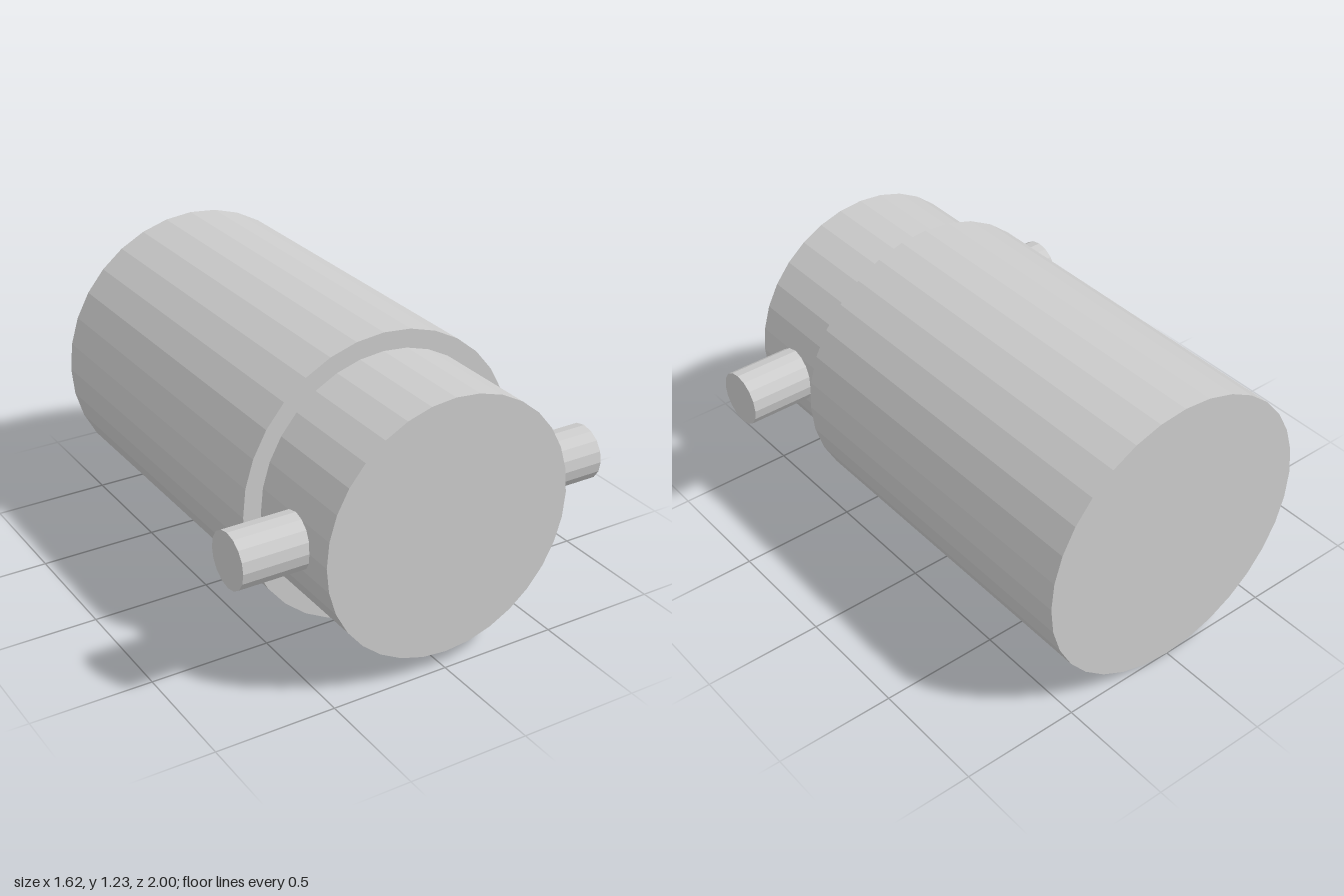
import * as THREE from 'three';

const AXIS_Y = 0.617;

export function createModel() {
  const model = new THREE.Group();
  const material = new THREE.MeshStandardMaterial({ color: 0xcccccc, flatShading: true });

  // Faceted drum lying along z between two depths
  function drum(name, radius, back, front) {
    const geometry = new THREE.CylinderGeometry(radius, radius, front - back, 32);
    geometry.rotateX(Math.PI / 2);
    const mesh = new THREE.Mesh(geometry, material);
    mesh.name = name;
    mesh.position.set(0, AXIS_Y, (front + back) / 2);
    model.add(mesh);
  }

  drum('mainBody', 0.613, -1, 0.535);
  drum('frontCollar', 0.537, 0.535, 1);

  // Side pins, running a little way into the collar
  const inner = 0.48, outer = 0.808;
  for (const side of [1, -1]) {
    const geometry = new THREE.CylinderGeometry(0.115, 0.115, outer - inner, 16);
    geometry.rotateZ(Math.PI / 2);
    const pin = new THREE.Mesh(geometry, material);
    pin.name = side > 0 ? 'leftPin' : 'rightPin';
    pin.position.set(side * (inner + outer) / 2, AXIS_Y, 0.767);
    model.add(pin);
  }

  return model;
}
